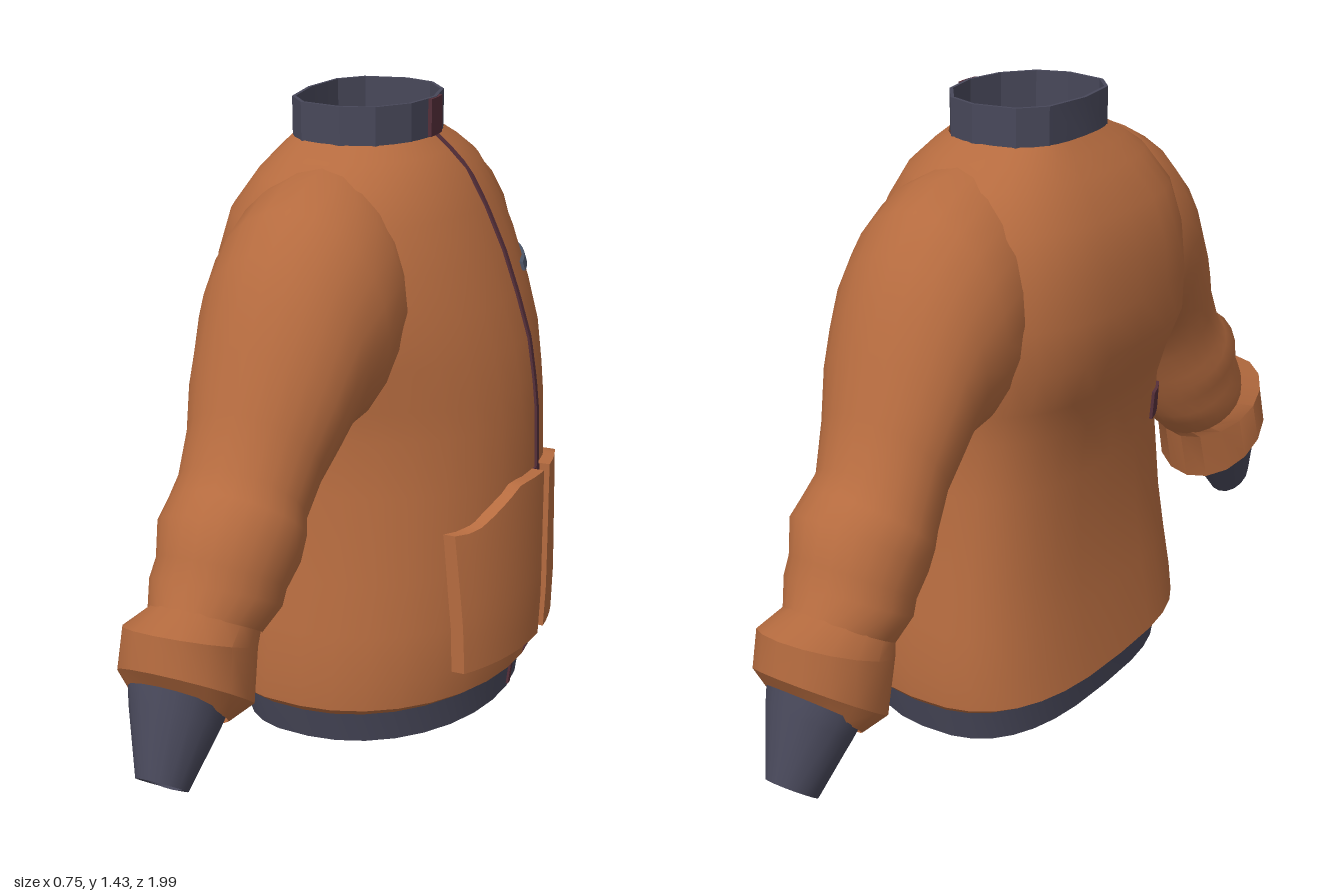
import * as THREE from 'three';
import { toCreasedNormals } from 'three/addons/utils/BufferGeometryUtils.js';

const CX = -0.06; // x of the body's widest line; the jacket opens toward +x

// Body sections: [y, back x, front x, half width z]
const HEM = [[0, -0.31, 0.285, 0.405], [0.085, -0.32, 0.295, 0.425]];
const TORSO = [
  [0.08, -0.32, 0.295, 0.425], [0.1, -0.353, 0.325, 0.445], [0.17, -0.342, 0.34, 0.445],
  [0.28, -0.325, 0.345, 0.43], [0.4, -0.312, 0.345, 0.41], [0.6, -0.305, 0.345, 0.38],
  [0.73, -0.318, 0.342, 0.37], [0.8, -0.34, 0.335, 0.375], [0.9, -0.38, 0.32, 0.39],
  [1.0, -0.378, 0.29, 0.4], [1.1, -0.37, 0.255, 0.39], [1.2, -0.34, 0.21, 0.365],
  [1.28, -0.285, 0.165, 0.31], [1.32, -0.25, 0.125, 0.25], [1.35, -0.225, 0.09, 0.19],
];
const COLLAR = [[1.345, -0.225, 0.09, 0.193], [1.435, -0.225, 0.09, 0.193]];
const PROFILE = [HEM[0], ...TORSO, COLLAR[1]];

// Sleeve sections: [outer z, outer y, inner z, inner y, back x, front x]
const SLEEVE = [
  [0.22, 1.32, 0.23, 0.82, -0.26, 0.12], [0.33, 1.3, 0.29, 0.76, -0.29, 0.15],
  [0.42, 1.255, 0.35, 0.735, -0.29, 0.14], [0.5, 1.18, 0.4, 0.73, -0.28, 0.12],
  [0.555, 1.09, 0.42, 0.715, -0.27, 0.105], [0.6, 1.0, 0.445, 0.69, -0.265, 0.09],
  [0.65, 0.88, 0.48, 0.64, -0.25, 0.06], [0.7, 0.775, 0.515, 0.57, -0.25, 0.04],
  [0.735, 0.735, 0.53, 0.54, -0.258, 0.05], [0.79, 0.7, 0.55, 0.5, -0.262, 0.052],
  [0.82, 0.62, 0.58, 0.455, -0.25, 0.03], [0.84, 0.575, 0.6, 0.43, -0.257, 0.03],
  [0.87, 0.525, 0.65, 0.385, -0.24, 0.0],
];
const FOLD = [
  [0.865, 0.53, 0.645, 0.39, -0.235, -0.005], [0.957, 0.51, 0.665, 0.37, -0.265, 0.01],
  [0.967, 0.43, 0.705, 0.24, -0.272, 0.015], [0.925, 0.36, 0.79, 0.232, -0.24, -0.025],
];
const CUFF = [
  [0.945, 0.39, 0.785, 0.25, -0.24, -0.025], [0.957, 0.35, 0.81, 0.22, -0.23, -0.035],
  [0.995, 0.2, 0.893, 0.12, -0.188, -0.078], [0.983, 0.205, 0.905, 0.127, -0.176, -0.09],
  [0.965, 0.26, 0.865, 0.19, -0.176, -0.09],
];

const power = (v, n) => Math.sign(v) * Math.abs(v) ** (2 / n);

// Horizontal section: elliptical front and squarer back
function bodyRing([y, back, front, half], segments, inset = 0) {
  return Array.from({ length: segments }, (_, j) => {
    const t = (j / segments) * Math.PI * 2;
    const c = Math.cos(t), n = c < 0 ? 2.8 : 2;
    const reach = (c < 0 ? CX - back : front - CX) - inset;
    return [CX + reach * power(c, n), y, (half - inset) * power(Math.sin(t), n)];
  });
}

// Tilted oval section of a sleeve on one side
function sleeveRing([zo, yo, zi, yi, back, front], side, segments) {
  return Array.from({ length: segments }, (_, j) => {
    const t = (j / segments) * Math.PI * 2;
    const c = Math.cos(t);
    return [
      (back + front) / 2 + ((front - back) / 2) * Math.sin(t),
      (yo + yi) / 2 + ((yo - yi) / 2) * c,
      side * ((zo + zi) / 2 + ((zo - zi) / 2) * c),
    ];
  });
}

// Skin between closed rings
function loft(rings, flip = false, crease = 0.7) {
  const n = rings[0].length, index = [];
  for (let i = 0; i < rings.length - 1; i++) {
    for (let j = 0; j < n; j++) {
      const k = (j + 1) % n;
      const a = i * n + j, b = i * n + k, c = a + n, d = b + n;
      index.push(...(flip ? [a, d, c, a, b, d] : [a, c, d, a, d, b]));
    }
  }
  const geometry = new THREE.BufferGeometry();
  geometry.setAttribute('position', new THREE.Float32BufferAttribute(rings.flat(2), 3));
  geometry.setIndex(index);
  geometry.computeVertexNormals();
  return toCreasedNormals(geometry, crease);
}

// x of the body surface at a height and width; dir 1 = front, -1 = back
function surfaceX(y, z, dir) {
  let i = 0;
  while (i < PROFILE.length - 2 && y > PROFILE[i + 1][0]) i++;
  const p = PROFILE[i], q = PROFILE[i + 1];
  const f = THREE.MathUtils.clamp((y - p[0]) / (q[0] - p[0]), 0, 1);
  const [, back, front, half] = p.map((v, k) => THREE.MathUtils.lerp(v, q[k], f));
  const n = dir > 0 ? 2 : 2.8;
  const reach = dir > 0 ? front - CX : CX - back;
  return CX + dir * reach * Math.max(0, 1 - Math.abs(z / half) ** n) ** (1 / n);
}

// Raised plate that follows the body, with its rim tucked into the surface
function panel(z0, z1, low, high, lift, dir, nu, nv) {
  const geometry = new THREE.PlaneGeometry(1, 1, nu, nv);
  const pos = geometry.attributes.position;
  for (let k = 0; k < pos.count; k++) {
    const i = k % (nu + 1), j = Math.floor(k / (nu + 1));
    const u = THREE.MathUtils.clamp((i - 1) / (nu - 2), 0, 1);
    const v = THREE.MathUtils.clamp((j - 1) / (nv - 2), 0, 1);
    const rim = i === 0 || j === 0 || i === nu || j === nv;
    const z = THREE.MathUtils.lerp(z0, z1, u);
    const y = THREE.MathUtils.lerp(high(z), low(z), v);
    pos.setXYZ(k, surfaceX(y, z, dir) + dir * (rim ? -0.006 : lift), y, z);
  }
  geometry.computeVertexNormals();
  return toCreasedNormals(geometry, 0.7);
}

export function createModel() {
  const jacket = new THREE.Group();
  jacket.name = 'jacket';
  const material = (name, color) => {
    const m = new THREE.MeshStandardMaterial({ color, side: THREE.DoubleSide });
    m.name = name;
    return m;
  };
  const orange = material('rust orange cloth', 0xb56b3f);
  const ribbing = material('slate ribbing', 0x48485a);
  const maroon = material('maroon zip', 0x552f3a);
  const slate = material('slate blue trim', 0x4c5568);
  const add = (name, geometry, mat) => {
    const mesh = new THREE.Mesh(geometry, mat);
    mesh.name = name;
    jacket.add(mesh);
  };
  const flat = (y) => () => y;

  // Body, with thick ribbed hem and collar
  add('torso', loft(TORSO.map((s) => bodyRing(s, 32))), orange);
  add('hem', loft([
    bodyRing(HEM[1], 32, 0.03), bodyRing(HEM[0], 32, 0.03),
    bodyRing(HEM[0], 32), bodyRing(HEM[1], 32),
  ]), ribbing);
  add('collar', loft([
    bodyRing(COLLAR[0], 12), bodyRing(COLLAR[1], 12),
    bodyRing(COLLAR[1], 12, 0.008), bodyRing(COLLAR[0], 12, 0.008),
  ], false, 0.4), ribbing);

  // Sleeves, cuffs and front pockets on both sides
  for (const side of [1, -1]) {
    const label = side > 0 ? 'left' : 'right';
    const tube = (rings, n, crease) =>
      loft(rings.map((r) => sleeveRing(r, side, n)), side < 0, crease);
    add(label + 'Sleeve', tube(SLEEVE, 24, 0.8), orange);
    add(label + 'SleeveFold', tube(FOLD, 16, 0.5), orange);
    add(label + 'Cuff', tube(CUFF, 16, 0.6), ribbing);

    const top = (z) => 0.59 - 0.08 * THREE.MathUtils.clamp((Math.abs(z) - 0.12) / 0.12, 0, 1);
    const edges = side > 0 ? [0.28, 0.02] : [-0.02, -0.28];
    add(label + 'Pocket', panel(...edges, flat(0.17), top, 0.028, 1, 12, 10), orange);
  }

  // Zip with its collar tab and the wider tape between the pockets
  add('zip', panel(0.007, -0.007, flat(0.01), flat(1.35), 0.005, 1, 3, 50), maroon);
  add('zipTape', panel(0.017, -0.017, flat(0.17), flat(0.59), 0.004, 1, 3, 12), maroon);
  add('collarTab', panel(0.032, -0.032, flat(1.35), flat(1.434), 0.004, 1, 4, 4), maroon);

  // Chest trim and small back patch
  add('chestTrim', panel(-0.09, -0.275, flat(1.03), flat(1.05), 0.007, 1, 10, 4), slate);
  add('backPatch', panel(0.21, 0.28, flat(0.62), flat(0.69), 0.007, -1, 6, 5), maroon);

  return jacket;
}
